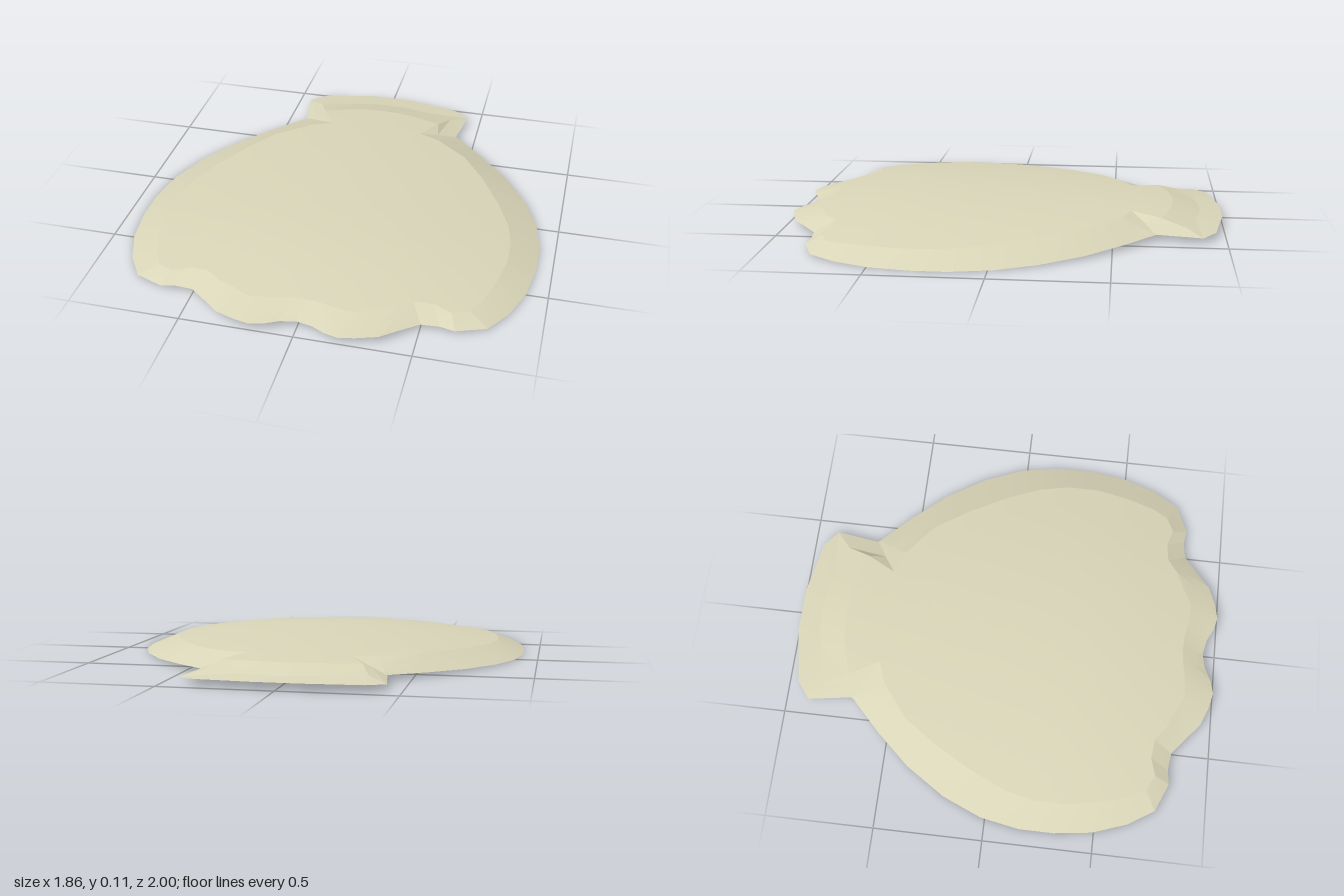
import * as THREE from 'three';
import { toCreasedNormals } from 'three/addons/utils/BufferGeometryUtils.js';

// Half of the plan, back to front: rim x, z, crown edge x, z, optional step x, z
const HINGE = [
  [0, -1, 0, -0.775, 0, -0.9],
  [0.1, -1, 0.08, -0.77, 0.09, -0.895],
  [0.355, -0.955, 0.17, -0.755, 0.18, -0.875],
  [0.435, -0.895, 0.305, -0.715, 0.35, -0.825],
  [0.405, -0.695, 0.23, -0.58],
  [0.41, -0.685, 0.335, -0.54],
];
const SIDE = [
  [0.56, -0.54, 0.49, -0.42], [0.7, -0.385, 0.6, -0.26], [0.82, -0.2, 0.7, -0.08],
  [0.895, -0.02, 0.77, 0.08], [0.928, 0.16, 0.8, 0.22], [0.928, 0.32, 0.8, 0.37],
  [0.905, 0.495, 0.77, 0.52], [0.85, 0.65, 0.73, 0.65],
];
const SCALLOPS = [
  [0.775, 0.77, 0.69, 0.72], [0.645, 0.825, 0.62, 0.755], [0.58, 0.815, 0.54, 0.73],
  [0.5, 0.825, 0.455, 0.74], [0.42, 0.89, 0.39, 0.79], [0.35, 0.95, 0.31, 0.825],
  [0.26, 0.985, 0.24, 0.862], [0.19, 1, 0.18, 0.862], [0.13, 0.985, 0.12, 0.855],
  [0.07, 0.955, 0.06, 0.843], [0, 0.94, 0, 0.84],
];

// Height of the domed crown and of the lower rim
function domeY(x, z) {
  const fall = z > 0.25 ? 0.04 * ((z - 0.25) / 0.6) ** 2 : 0.035 * ((0.25 - z) / 1.02) ** 2;
  return 0.115 - 0.095 * x * x - fall;
}
const rimY = (x) => 0.034 - 0.034 * Math.max(0, (Math.abs(x) - 0.25) / 0.678);

// Joins closed loops of points, outermost first, into one surface facing up
function skin(loops, centre) {
  const n = loops[0].length;
  const points = loops.flat();
  const index = [];
  for (let k = 0; k < loops.length - 1; k++) {
    for (let i = 0; i < n; i++) {
      const j = (i + 1) % n;
      const a = k * n + i, b = k * n + j, c = a + n, d = b + n;
      index.push(b, a, c, b, c, d);
    }
  }
  if (centre) {
    const last = (loops.length - 1) * n;
    points.push(centre);
    for (let i = 0; i < n; i++) index.push(last + ((i + 1) % n), last + i, points.length - 1);
  }
  const geometry = new THREE.BufferGeometry().setFromPoints(points);
  geometry.setIndex(index);
  geometry.computeVertexNormals();
  return geometry;
}

export function createModel() {
  const model = new THREE.Group();
  model.name = 'seashell';
  const material = new THREE.MeshStandardMaterial({
    color: 0xd9d5b8, roughness: 0.8, side: THREE.DoubleSide,
  });

  // Mirror the half plan into a full loop
  const half = [...HINGE, ...SIDE, ...SCALLOPS];
  const mirrored = half.slice(1, -1).reverse()
    .map((row) => row.map((v, i) => (i % 2 ? v : -v)));
  const plan = [...half, ...mirrored];

  const rim = plan.map(([x, z]) => new THREE.Vector3(x, rimY(x), z));
  const edge = plan.map(([, , x, z]) => new THREE.Vector3(x, domeY(x, z), z));
  // The hinge has a flat lip before it steps up to the crown
  const step = plan.map((row, i) => (row.length > 4
    ? new THREE.Vector3(row[4], 0.045, row[5])
    : rim[i].clone().lerp(edge[i], 0.5)));

  // Sloping border with scallops and hinge
  const border = new THREE.Mesh(toCreasedNormals(skin([rim, step, edge]), 0.12), material);
  border.name = 'scallopedBorder';

  // Smooth crown, in rings shrinking towards its middle
  const cz = -0.2;
  const rings = [1, 0.85, 0.7, 0.55, 0.4, 0.25, 0.12].map((s) => edge.map((p) => {
    const x = p.x * s, z = cz + (p.z - cz) * s;
    return new THREE.Vector3(x, domeY(x, z), z);
  }));
  const crown = new THREE.Mesh(skin(rings, new THREE.Vector3(0, domeY(0, cz), cz)), material);
  crown.name = 'crown';

  model.add(border, crown);
  return model;
}
